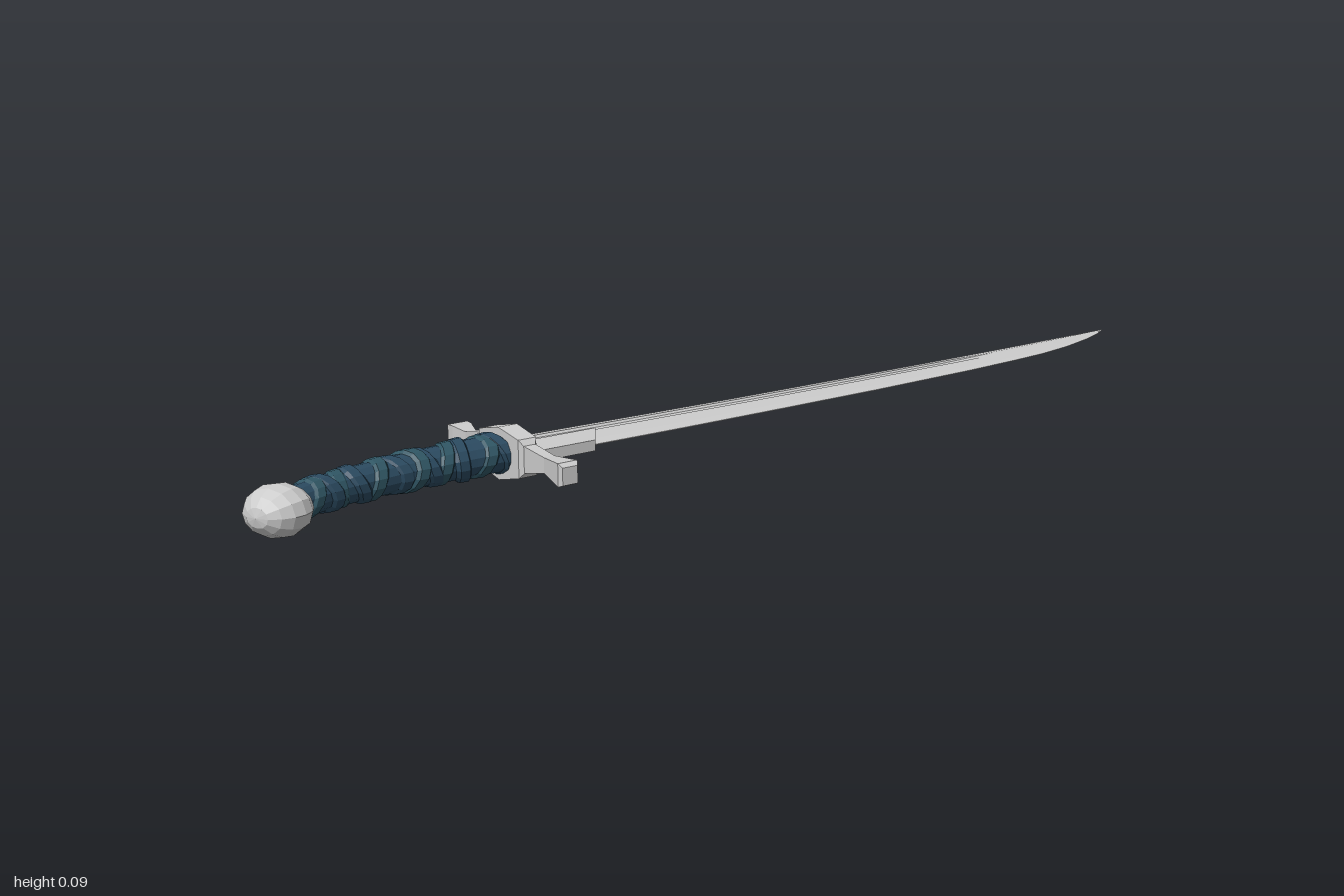
import * as THREE from 'three';

const MID = 0.045; // height of the sword's middle plane
const V = (x, y, z) => new THREE.Vector3(x, y, z);
const steel = new THREE.MeshStandardMaterial({ color: 0xcccccc, flatShading: true });
const leather = [0x2f5563, 0x2b4a60].map(
  (color) => new THREE.MeshStandardMaterial({ color, flatShading: true }));

// Skin a row of equal-length rings and close both ends
function loft(rings) {
  const n = rings[0].length, last = rings.length - 1, index = [];
  for (let i = 0; i < last; i++) {
    for (let j = 0; j < n; j++) {
      const a = i * n + j, b = i * n + (j + 1) % n;
      index.push(a, b, b + n, a, b + n, a + n);
    }
  }
  // Ends are filled from their middle point
  const points = rings.flat();
  [0, last].forEach((r) => {
    const c = points.length;
    points.push(rings[r].reduce((s, p) => s.add(p), V(0, 0, 0)).divideScalar(n));
    for (let j = 0; j < n; j++) {
      const a = r * n + j, b = r * n + (j + 1) % n;
      index.push(...(r ? [c, a, b] : [c, b, a]));
    }
  });
  const geo = new THREE.BufferGeometry().setFromPoints(points);
  geo.setIndex(index);
  geo.computeVertexNormals();
  return geo;
}

function add(group, name, geo, material = steel) {
  const mesh = new THREE.Mesh(geo, material);
  mesh.name = name;
  group.add(mesh);
  return mesh;
}

// Blade: sections as x, z of the back, z of the cutting edge, thickness scale
function bladeGeometry() {
  const sections = [
    [-0.51, -0.06, 0.051, 1], [-0.2, -0.052, 0.054, 0.95], [0, -0.048, 0.053, 0.9],
    [0.25, -0.047, 0.05, 0.85], [0.5, -0.048, 0.041, 0.75], [0.64, -0.05, 0.031, 0.65],
    [0.72, -0.052, 0.023, 0.6], [0.81, -0.056, 0.006, 0.5], [0.9, -0.06, -0.02, 0.35],
    [0.96, -0.063, -0.043, 0.2], [1, -0.066, -0.065, 0.08],
  ];
  return loft(sections.map(([x, back, edge, k]) => {
    const groove = x < 0.64 ? 0.004 : 0.007; // the fuller runs out before the tip
    const half = [[0, 0.005], [0.19, 0.008], [0.22, groove], [0.36, groove],
      [0.4, 0.0065], [0.8, 0.004], [1, 0.0007]];
    const side = (s) => half.map(([t, h]) =>
      V(x, MID + s * h * k, THREE.MathUtils.lerp(back, edge, t)));
    return [...side(1), ...side(-1).reverse()];
  }));
}

// Raised plate at the root of the blade
function ricassoGeometry() {
  const shape = new THREE.Shape([[-0.51, 0.012], [-0.33, 0.012], [-0.38, -0.056], [-0.51, -0.056]]
    .map(([x, y]) => new THREE.Vector2(x, y)));
  const geo = new THREE.ExtrudeGeometry(shape, { depth: 0.018, bevelEnabled: false });
  return geo.rotateX(-Math.PI / 2).translate(0, MID - 0.009, 0);
}

// Cross guard: sections as z, middle x, half width, low y, high y
function guardGeometry() {
  const sections = [
    [-0.185, -0.49, 0.014, 0.032, 0.05], [-0.178, -0.491, 0.019, 0.026, 0.057],
    [-0.16, -0.494, 0.018, 0.028, 0.058], [-0.126, -0.499, 0.01, 0.036, 0.054],
    [-0.064, -0.507, 0.012, 0.024, 0.067], [-0.056, -0.51, 0.017, 0.015, 0.076],
    [0, -0.51, 0.018, 0.002, 0.088], [0.056, -0.511, 0.017, 0.015, 0.077],
    [0.064, -0.512, 0.011, 0.024, 0.068], [0.12, -0.514, 0.01, 0.036, 0.061],
    [0.16, -0.519, 0.015, 0.03, 0.064], [0.177, -0.52, 0.018, 0.028, 0.065],
    [0.185, -0.521, 0.014, 0.031, 0.059],
  ];
  return loft(sections.map(([z, x, w, lo, hi]) =>
    [V(x + w, lo, z), V(x + w, hi, z), V(x - w, hi, z), V(x - w, lo, z)]));
}

// Curved line of the grip, from pommel to guard
const gripPath = new THREE.CatmullRomCurve3([
  V(-0.93, MID, 0.06), V(-0.86, MID, 0.032), V(-0.78, MID, 0.013),
  V(-0.7, MID, 0.001), V(-0.6, MID, -0.005), V(-0.515, MID, -0.006),
]);

// Ring around the grip at u; tilt slants it and scale swells it
function gripRing(u, scale, tilt = 0, phase = 0) {
  return Array.from({ length: 14 }, (_, j) => {
    const a = (j / 14) * Math.PI * 2;
    const t = THREE.MathUtils.clamp(u + tilt * Math.cos(a + phase), 0, 1);
    const p = gripPath.getPointAt(t), d = gripPath.getTangentAt(t);
    const side = Math.sin(a) * scale * THREE.MathUtils.lerp(0.026, 0.037, t);
    const up = Math.cos(a) * scale * THREE.MathUtils.lerp(0.025, 0.031, t);
    return V(p.x - d.z * side, p.y + up, p.z + d.x * side);
  });
}

export function createModel() {
  const model = new THREE.Group();
  model.name = 'curvedSword';

  add(model, 'blade', bladeGeometry());
  add(model, 'ricasso', ricassoGeometry());
  add(model, 'crossGuard', guardGeometry());

  // Grip core with overlapping slanted leather wraps
  const grip = new THREE.Group();
  grip.name = 'grip';
  model.add(grip);
  add(grip, 'gripCore',
    loft(Array.from({ length: 13 }, (_, i) => gripRing(i / 12, 1))), leather[1]);
  const wraps = 12;
  for (let i = 0; i < wraps; i++) {
    const u = 0.1 + (0.86 * i) / (wraps - 1);
    const tilt = i % 3 === 1 ? -0.03 : 0.035;
    const swell = 1.13 + 0.04 * Math.sin(i * 2.3);
    const band = [[-0.04, 0.93], [-0.022, swell], [0.018, swell + 0.02], [0.036, 0.93]];
    add(grip, 'gripWrap',
      loft(band.map(([du, s]) => gripRing(u + du, s, tilt, i * 0.9))), leather[i % 2]);
  }

  // Faceted ball pommel
  const pommel = add(model, 'pommel', new THREE.SphereGeometry(1, 12, 8).rotateZ(Math.PI / 2));
  pommel.scale.set(0.05, 0.04, 0.051);
  pommel.rotation.y = 0.4;
  pommel.position.set(-0.95, MID, 0.073);

  return model;
}
